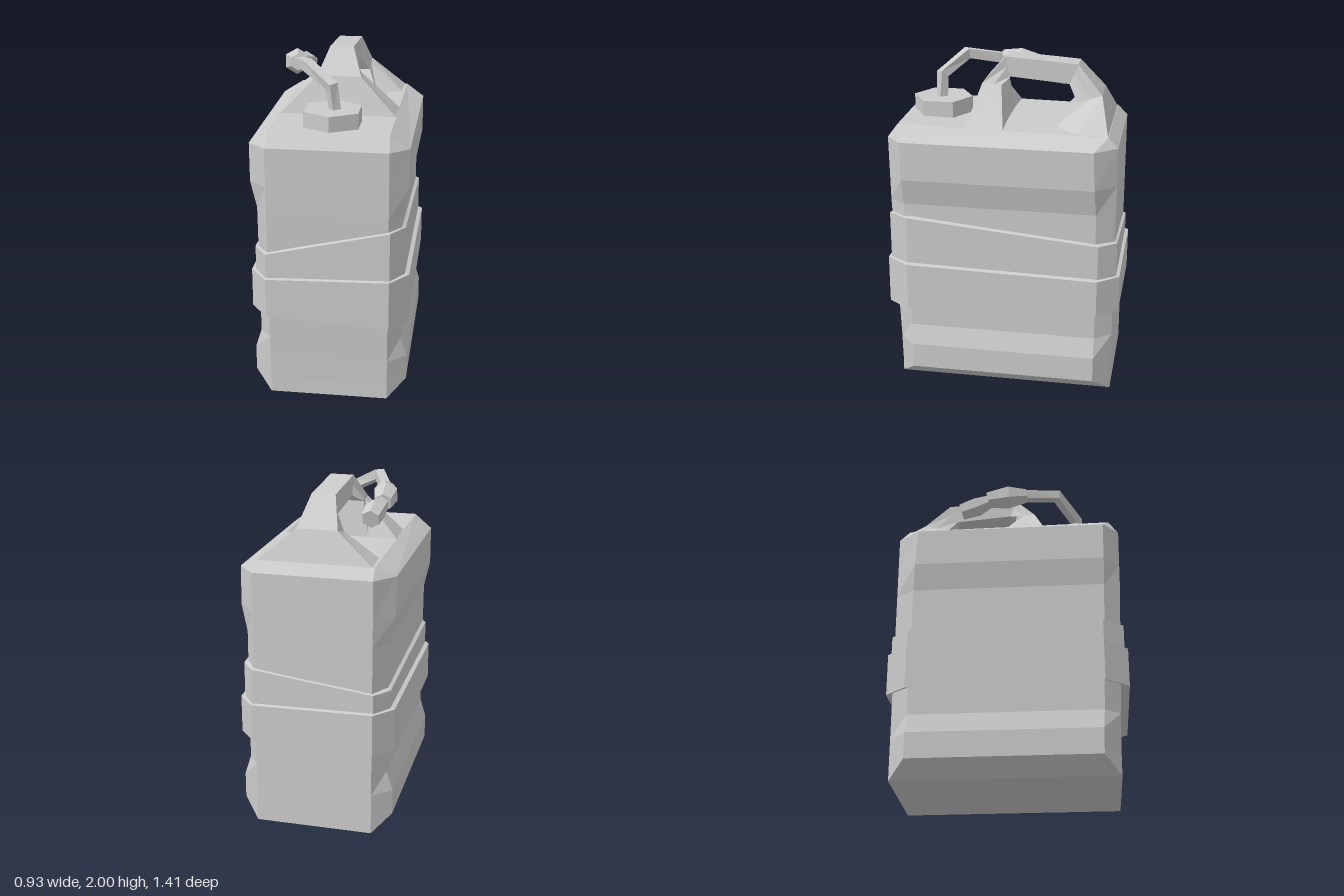
import * as THREE from 'three';

const material = new THREE.MeshStandardMaterial({ color: 0xcccccc, flatShading: true });
const V = (x, y, z) => new THREE.Vector3(x, y, z);

// Closed skin through rings of equal point count, capped at both ends, facing outward
function loft(name, rings) {
  const tris = [];
  const n = rings[0].length;
  for (let i = 0; i < rings.length - 1; i++) {
    for (let j = 0; j < n; j++) {
      const k = (j + 1) % n;
      const a = rings[i][j], b = rings[i][k], c = rings[i + 1][k], d = rings[i + 1][j];
      tris.push([a, b, c], [a, c, d]);
    }
  }
  const first = rings[0], last = rings[rings.length - 1];
  for (let j = 1; j < n - 1; j++) {
    tris.push([first[0], first[j + 1], first[j]], [last[0], last[j], last[j + 1]]);
  }
  const solid = tris.filter(([a, b, c]) => V().subVectors(b, a).cross(V().subVectors(c, a)).length() > 1e-8);
  const volume = solid.reduce((s, [a, b, c]) => s + a.dot(V().crossVectors(b, c)), 0);
  const points = solid.flatMap(([a, b, c]) => (volume < 0 ? [a, c, b] : [a, b, c]));
  const geometry = new THREE.BufferGeometry().setFromPoints(points);
  geometry.computeVertexNormals();
  const mesh = new THREE.Mesh(geometry, material);
  mesh.name = name;
  return mesh;
}

// Rectangle with cut corners; y is [left front, left back, right back, right front]
function cutRect(y, a, b, zf, zsf, zsb, zb) {
  const [lf, lb, rb, rf] = Array.isArray(y) ? y : [y, y, y, y];
  return [
    V(a, lf, zf), V(b, lf, zsf), V(b, lb, zsb), V(a, lb, zb),
    V(-a, rb, zb), V(-b, rb, zsb), V(-b, rf, zsf), V(-a, rf, zf),
  ];
}

// Polygon rings along a path of [x, y, z, radius]
function pathRings(path, sides, normal) {
  const p = path.map(([x, y, z]) => V(x, y, z));
  return path.map(([, , , r], i) => {
    const t = V().subVectors(p[Math.min(i + 1, p.length - 1)], p[Math.max(i - 1, 0)]).normalize();
    const up = V().crossVectors(t, normal).normalize();
    const side = V().crossVectors(up, t);
    return Array.from({ length: sides }, (_, j) => {
      const angle = ((j + 0.5) / sides) * Math.PI * 2;
      return p[i].clone().addScaledVector(side, r * Math.cos(angle)).addScaledVector(up, r * Math.sin(angle));
    });
  });
}

// Strap hugging the body: an outer band whose ledges slope in to the can
function strap(name, bottom, top, b, z, slope) {
  const inner = (y) => cutRect(y, 0.33, 0.40, 0.63, 0.54, -0.54, -0.64);
  const outer = (y) => cutRect(y, 0.36, b, z, 0.57, -0.58, -z + 0.005);
  return loft(name, [
    inner(bottom.map((y) => y + slope)), outer(bottom),
    outer(top), inner(top.map((y) => y + 0.02)),
  ]);
}

export function createModel() {
  const group = new THREE.Group();

  // Can body with pinched waist and bevelled ends
  group.add(loft('body', [
    cutRect(0, 0.35, 0.35, 0.645, 0.645, -0.67, -0.67),
    cutRect(0.095, 0.35, 0.458, 0.645, 0.55, -0.57, -0.67),
    cutRect(0.25, 0.35, 0.458, 0.648, 0.553, -0.57, -0.67),
    cutRect(0.37, 0.35, 0.42, 0.652, 0.56, -0.57, -0.67),
    cutRect(1.17, 0.35, 0.42, 0.68, 0.585, -0.56, -0.67),
    cutRect(1.33, 0.35, 0.456, 0.682, 0.588, -0.55, -0.67),
    cutRect(1.56, 0.35, 0.456, 0.685, 0.59, -0.54, -0.67),
    cutRect([1.64, 1.62, 1.62, 1.64], 0.345, 0.345, 0.625, 0.625, -0.61, -0.61),
  ]));

  // Two straps, the upper one askew
  group.add(strap('upperStrap', [0.7, 0.7, 0.7, 0.7], [1.085, 0.98, 0.89, 0.92], 0.44, 0.69, 0.02));
  group.add(strap('lowerStrap', [0.495, 0.54, 0.52, 0.535], [0.79, 0.765, 0.775, 0.77], 0.465, 0.71, 0.03));

  // Carrying handle: flared legs and a narrow bar; [half width, y, z] outside, flank, inside
  const handle = [
    [[0.345, 1.63, 0.225], [0.345, 1.63, 0.0], [0.17, 1.63, 0.01]],
    [[0.13, 1.85, 0.16], [0.13, 1.845, 0.09], [0.13, 1.84, 0.045]],
    [[0.07, 2.0, 0.03], [0.07, 1.94, 0.02], [0.07, 1.88, 0.0]],
    [[0.07, 1.97, -0.4], [0.07, 1.91, -0.38], [0.07, 1.85, -0.35]],
    [[0.12, 1.8, -0.55], [0.12, 1.78, -0.48], [0.12, 1.76, -0.4]],
    [[0.345, 1.61, -0.61], [0.34, 1.61, -0.41], [0.19, 1.61, -0.27]],
  ];
  group.add(loft('handle', handle.map((s) => [
    ...s.map(([w, y, z]) => V(w, y, z)),
    ...s.map(([w, y, z]) => V(-w, y, z)).reverse(),
  ])));

  // Hexagonal filler cap
  const cap = new THREE.Mesh(new THREE.CylinderGeometry(0.18, 0.18, 0.1, 6), material);
  cap.name = 'cap';
  cap.position.set(0, 1.68, 0.425);
  group.add(cap);

  // Bent square spout
  group.add(loft('spout', pathRings([
    [0.015, 1.71, 0.43, 0.036], [-0.005, 1.86, 0.43, 0.04],
    [-0.17, 1.955, 0.31, 0.042], [-0.26, 1.91, 0.08, 0.042],
  ], 4, V(0.8, 0, -0.6))));

  // Nozzle grip and hollow tip
  const across = V(1, 0, 0);
  group.add(loft('nozzleGrip', pathRings([
    [-0.25, 1.915, 0.11, 0.05], [-0.275, 1.895, 0.0, 0.078], [-0.285, 1.875, -0.13, 0.055],
  ], 6, across)));
  group.add(loft('nozzleTip', pathRings([
    [-0.28, 1.875, -0.1, 0.042], [-0.255, 1.845, -0.2, 0.066], [-0.25, 1.815, -0.3, 0.056],
    [-0.25, 1.814, -0.302, 0.035], [-0.255, 1.83, -0.25, 0.03],
  ].slice(0, 3), 6, across)));

  return group;
}
